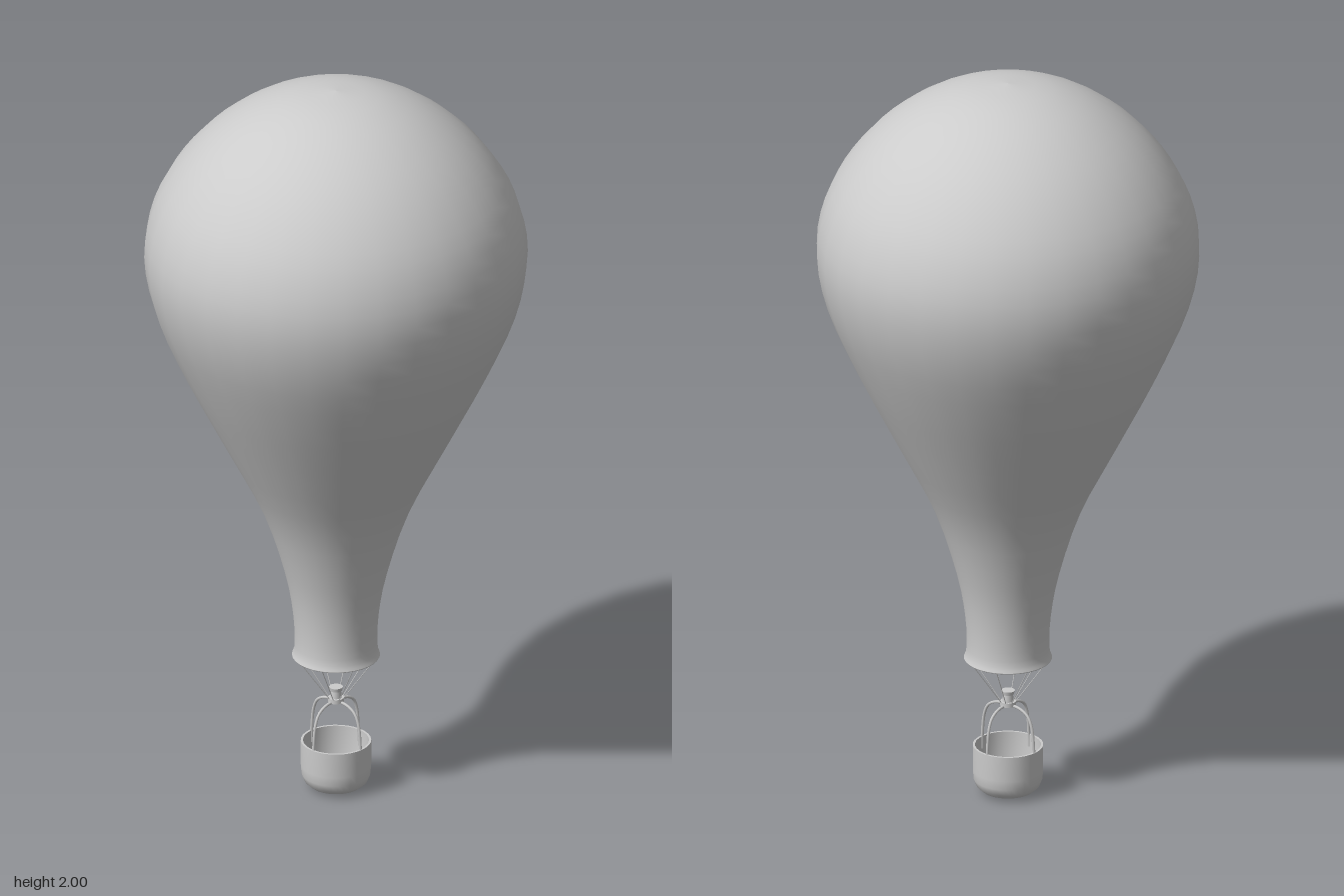
import * as THREE from 'three';

const material = new THREE.MeshStandardMaterial({ color: 0xcccccc, side: THREE.DoubleSide });

function add(parent, name, geometry) {
  const mesh = new THREE.Mesh(geometry, material);
  mesh.name = name;
  parent.add(mesh);
  return mesh;
}

const points2 = (list) => list.map(([r, y]) => new THREE.Vector2(r, y));

// Point at a given angle, radius and height around the vertical axis
const polar = (angle, r, y) => new THREE.Vector3(Math.sin(angle) * r, y, Math.cos(angle) * r);

export function createModel() {
  const model = new THREE.Group();
  model.name = 'hotAirBalloon';

  // Envelope: open teardrop with a slightly flared mouth
  const profile = new THREE.SplineCurve(points2([
    [0.115, 0.38], [0.108, 0.41], [0.112, 0.5], [0.134, 0.62], [0.192, 0.8], [0.293, 1.0],
    [0.395, 1.2], [0.472, 1.38], [0.5, 1.53], [0.478, 1.66], [0.42, 1.77], [0.336, 1.865],
    [0.23, 1.94], [0.115, 1.985], [0, 2],
  ])).getPoints(42);
  profile[profile.length - 1].x = 0;
  add(model, 'envelope', new THREE.LatheGeometry(profile, 32));
  const rim = add(model, 'mouthRim', new THREE.TorusGeometry(0.112, 0.003, 6, 32));
  rim.rotation.x = Math.PI / 2;
  rim.position.y = 0.38;

  // Basket: round tub with rounded bottom edge, thin wall and floor
  add(model, 'basket', new THREE.LatheGeometry(points2([
    [0, 0], [0.045, 0.002], [0.068, 0.008], [0.083, 0.021], [0.09, 0.04], [0.092, 0.065], [0.092, 0.133],
  ]), 32));
  add(model, 'basketRim', new THREE.LatheGeometry(points2([[0.092, 0.133], [0.086, 0.133]]), 32));
  add(model, 'basketLining', new THREE.LatheGeometry(points2([
    [0.086, 0.133], [0.086, 0.045], [0.075, 0.022], [0.05, 0.012], [0, 0.01],
  ]), 32));

  // Four curved uprights meeting under the burner
  for (let i = 0; i < 4; i++) {
    const a = i * Math.PI / 2;
    const path = new THREE.CatmullRomCurve3([
      [0.087, 0.1], [0.086, 0.14], [0.079, 0.2], [0.066, 0.228], [0.04, 0.243], [0, 0.247],
    ].map(([r, y]) => polar(a, r, y)));
    add(model, 'upright', new THREE.TubeGeometry(path, 18, 0.004, 6));
  }

  // Burner: hub, body and nozzle ring
  const burner = new THREE.Group();
  burner.name = 'burner';
  model.add(burner);
  const cylinder = (name, top, bottom, height, y) => {
    add(burner, name, new THREE.CylinderGeometry(top, bottom, height, 16)).position.y = y;
  };
  cylinder('hub', 0.021, 0.021, 0.012, 0.25);
  cylinder('body', 0.013, 0.015, 0.024, 0.266);
  cylinder('nozzle', 0.018, 0.016, 0.01, 0.281);

  // Eight ropes fanning out from the burner to the mouth
  for (let i = 0; i < 8; i++) {
    const a = (i + 0.5) * Math.PI / 4;
    const path = new THREE.LineCurve3(polar(a, 0.018, 0.252), polar(a, 0.111, 0.385));
    add(model, 'rope', new THREE.TubeGeometry(path, 1, 0.0012, 5));
  }

  return model;
}
